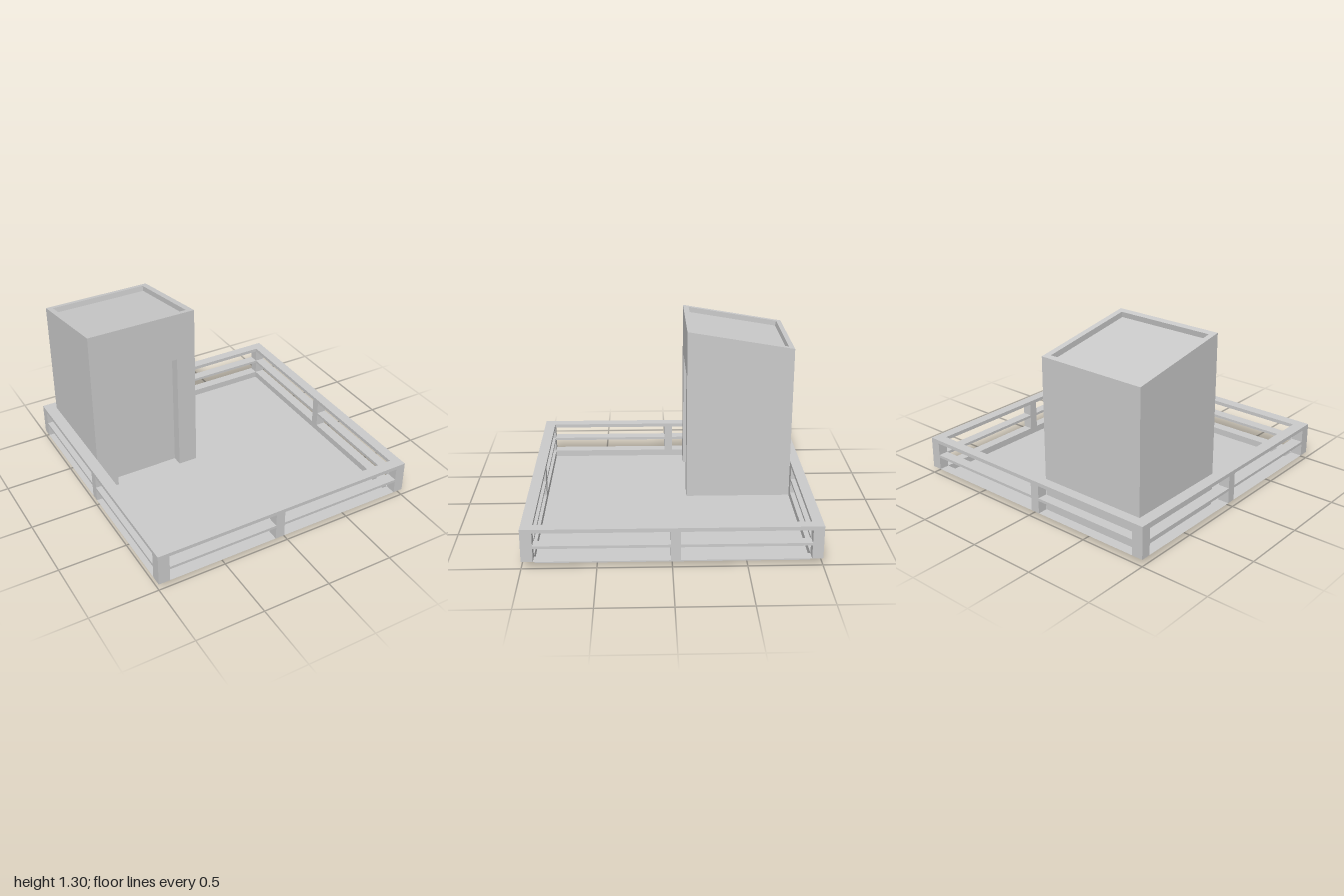
import * as THREE from 'three';

const grey = new THREE.MeshStandardMaterial({ color: 0xcccccc, flatShading: true });
const shell = new THREE.MeshStandardMaterial({ color: 0xcccccc, flatShading: true, side: THREE.DoubleSide });

// Post edges along x and z: corner, middle and corner post, with gaps between
const XS = [-1, -0.916, -0.097, -0.028, 0.926, 1];
const ZS = [-1, -0.926, -0.055, 0.01, 0.92, 1];
const [DX0, DX1, DZ0, DZ1] = [XS[1], XS[4], ZS[1], ZS[4]];

// Main dimensions
const LEDGE = 0.05, RAIL_BOTTOM = 0.258, RAIL_TOP = 0.285;
const X0 = DX0, X1 = -0.1, Z0 = DZ0, Z1 = -0.14;
const FRONT_TOP = 1.3, BACK_TOP = 1.167;
const DOOR_L = -0.76, DOOR_R = -0.245, DOOR_TOP = 0.937, DOOR_DEPTH = 0.08;

const toShape = (pts) => new THREE.Shape(pts.map(([x, y]) => new THREE.Vector2(x, y)));
const rect = (x0, x1, y0, y1) => [[x0, y0], [x1, y0], [x1, y1], [x0, y1]];

function add(group, name, geometry, material) {
  const mesh = new THREE.Mesh(geometry, material);
  mesh.name = name;
  group.add(mesh);
  return mesh;
}

// Box given by its limits
function box(group, name, [x0, x1], [y0, y1], [z0, z1], material) {
  const geo = new THREE.BoxGeometry(x1 - x0, y1 - y0, z1 - z0);
  geo.translate((x0 + x1) / 2, (y0 + y1) / 2, (z0 + z1) / 2);
  return add(group, name, geo, material);
}

// Four corners, counter-clockwise as seen from the front
function quad(group, name, a, b, c, d) {
  const geo = new THREE.BufferGeometry();
  geo.setAttribute('position', new THREE.Float32BufferAttribute([...a, ...b, ...c, ...a, ...c, ...d], 3));
  geo.computeVertexNormals();
  add(group, name, geo, shell);
}

// Walls along a path and a flat back, sunk below the local XY plane
function pocket(group, name, path, depth) {
  for (let i = 0; i < path.length - 1; i++) {
    const [p, q] = [path[i], path[i + 1]];
    quad(group, name + 'Side', [...p, 0], [...p, -depth], [...q, -depth], [...q, 0]);
  }
  add(group, name + 'Back', new THREE.ShapeGeometry(toShape(path.slice(0, 4))), shell).position.z = -depth;
}

function makeDeck(model) {
  // Thin floor with the tower footprint cut out, running into the doorway
  const zd = Z1 - DOOR_DEPTH;
  const outline = [[DX0, DZ1], [DX1, DZ1], [DX1, DZ0], [X1, DZ0], [X1, Z1], [DOOR_R, Z1], [DOOR_R, zd],
    [DOOR_L, zd], [DOOR_L, Z1], [X0, Z1]].map(([x, z]) => [x, -z]);
  const geo = new THREE.ShapeGeometry(toShape(outline));
  geo.rotateX(-Math.PI / 2);
  add(model, 'deck', geo, shell);

  // Low skirt from the floor up to the ledge, where the tower leaves it free
  const edge = [[X0, Z1], [DX0, DZ1], [DX1, DZ1], [DX1, DZ0], [X1, DZ0]];
  for (let i = 0; i < edge.length - 1; i++) {
    const [[ax, az], [bx, bz]] = [edge[i], edge[i + 1]];
    quad(model, 'skirt', [ax, 0, az], [bx, 0, bz], [bx, LEDGE, bz], [ax, LEDGE, az]);
  }
}

function makeRailing(model) {
  const railing = new THREE.Group();
  railing.name = 'railing';

  // Walk round the border cells: posts alternate with gaps
  for (let i = 0; i < 5; i++) {
    for (let j = 0; j < 5; j++) {
      if (i % 4 && j % 4) continue;
      const x = [XS[i], XS[i + 1]], z = [ZS[j], ZS[j + 1]];
      if (i % 2 === 0 && j % 2 === 0) {
        // Hollow post, open at both ends
        const geo = box(railing, 'post', x, [LEDGE, RAIL_BOTTOM], z, shell).geometry;
        geo.setIndex([...geo.index.array].filter((_, k) => k < 12 || k >= 24));
        geo.clearGroups();
      } else {
        box(railing, 'middleRail', x, [0.145, 0.165], z, grey);
        quad(railing, 'ledge', [x[0], LEDGE, z[1]], [x[1], LEDGE, z[1]], [x[1], LEDGE, z[0]], [x[0], LEDGE, z[0]]);
      }
    }
  }

  // Top rail as one square ring
  const ring = toShape(rect(-1, 1, -1, 1));
  ring.holes.push(toShape(rect(DX0, DX1, -DZ1, -DZ0)));
  const geo = new THREE.ExtrudeGeometry(ring, { depth: RAIL_TOP - RAIL_BOTTOM, bevelEnabled: false });
  geo.rotateX(-Math.PI / 2);
  add(railing, 'topRail', geo, grey).position.y = RAIL_BOTTOM;
  model.add(railing);
}

function makeTower(model) {
  const tower = new THREE.Group();
  tower.name = 'tower';

  // Side and back walls
  quad(tower, 'rightWall', [X0, 0, Z0], [X0, 0, Z1], [X0, FRONT_TOP, Z1], [X0, BACK_TOP, Z0]);
  quad(tower, 'leftWall', [X1, 0, Z1], [X1, 0, Z0], [X1, BACK_TOP, Z0], [X1, FRONT_TOP, Z1]);
  quad(tower, 'backWall', [X1, 0, Z0], [X0, 0, Z0], [X0, BACK_TOP, Z0], [X1, BACK_TOP, Z0]);

  // Front wall with a recessed doorway
  const front = new THREE.Group();
  front.name = 'frontWall';
  front.position.z = Z1;
  const door = [[DOOR_R, 0], [DOOR_R, DOOR_TOP], [DOOR_L, DOOR_TOP], [DOOR_L, 0]];
  const wall = [[X0, 0], ...[...door].reverse(), [X1, 0], [X1, FRONT_TOP], [X0, FRONT_TOP]];
  add(front, 'doorFrame', new THREE.ShapeGeometry(toShape(wall)), shell);
  pocket(front, 'doorway', door, DOOR_DEPTH);
  tower.add(front);

  // Sloped roof: a rim around a sunken panel
  const run = Z1 - Z0, drop = FRONT_TOP - BACK_TOP, len = Math.hypot(run, drop), rim = 0.04;
  const roof = new THREE.Group();
  roof.name = 'roof';
  roof.position.set(0, FRONT_TOP, Z1);
  roof.rotation.x = -Math.PI / 2 - Math.atan2(drop, run);
  const inner = rect(X0 + rim, X1 - rim - 0.004, rim + 0.004, len - rim);
  const rimShape = toShape(rect(X0, X1, 0, len));
  rimShape.holes.push(toShape(inner));
  add(roof, 'roofRim', new THREE.ShapeGeometry(rimShape), shell);
  pocket(roof, 'roofPanel', [...inner, inner[0]], 0.04);
  tower.add(roof);
  model.add(tower);
}

export function createModel() {
  const model = new THREE.Group();
  model.name = 'railedPlatformWithTower';
  makeDeck(model);
  makeRailing(model);
  makeTower(model);
  return model;
}
